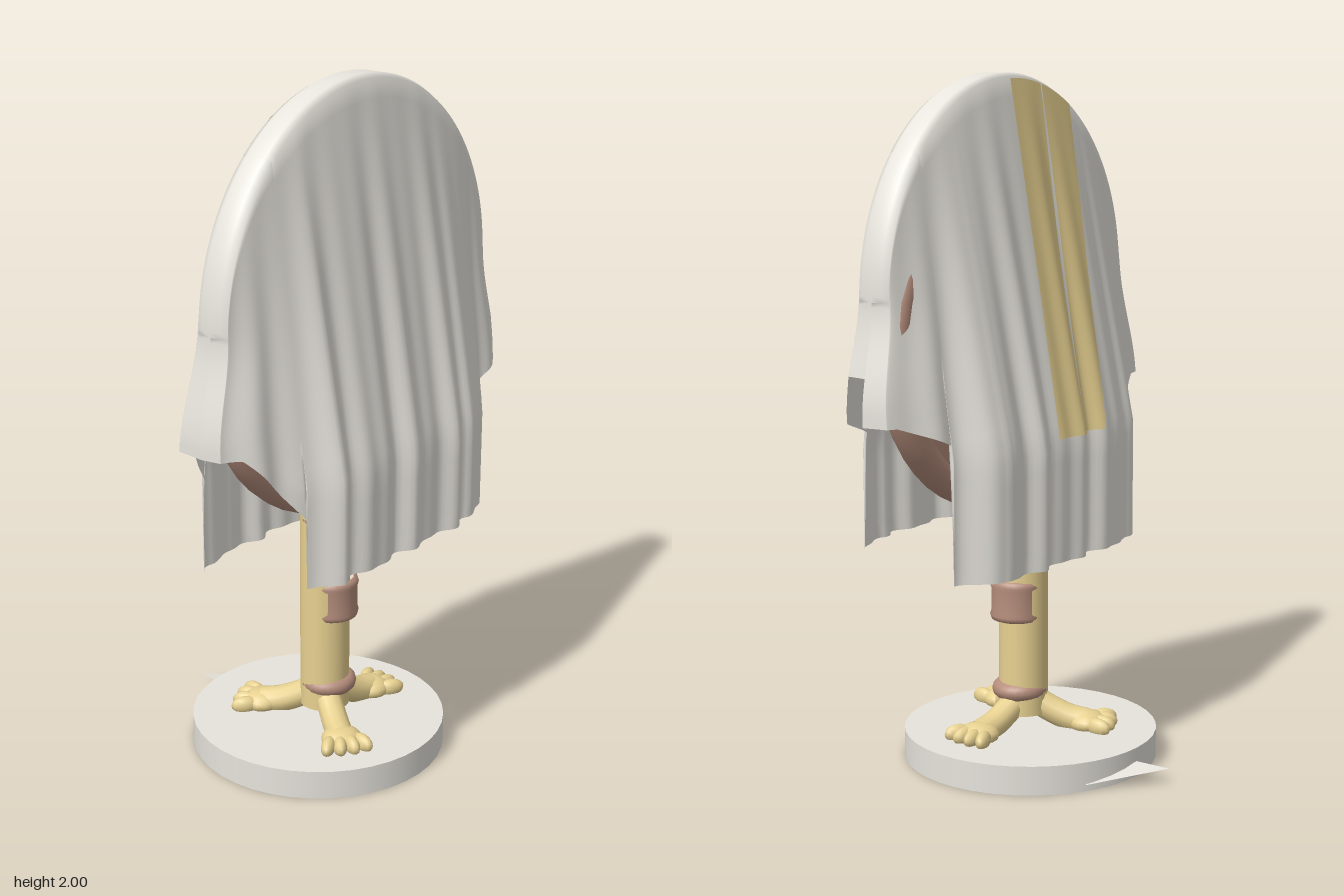
import * as THREE from 'three';

const mat = (name, color, side = THREE.FrontSide) => {
  const m = new THREE.MeshStandardMaterial({ color, side });
  m.name = name;
  return m;
};

const RX = 0.568, CY = 1.4, RY = 0.59; // half-ellipse of the covered rim
const EDGE_X = 0.02, EDGE_W = 0.41;    // long hanging panel: centre and half width
const clamp = THREE.MathUtils.clamp;

const rimTop = x => CY + RY * Math.sqrt(Math.max(0, 1 - (x / RX) ** 2));

// Depth of the cloth at (x, y) on the front (dir 1) or back (dir -1)
function clothZ(x, y, dir) {
  const top = rimTop(x);
  const t = clamp((top - y) / (top - 0.97), 0, 1);
  const flare = (dir > 0 ? 0.168 : 0.205) * clamp((0.62 - Math.abs(x)) / 0.32, 0, 1);
  const p = dir > 0 ? 0.6 : 2.4;
  const fold = 0.011 * Math.sin(x * 36 + p) + 0.007 * Math.sin(x * 61 + p * 2);
  return 0.14 + dir * (0.05 + t * (flare + fold));
}

// Lower edge: long in the middle, rising to the sides, highest at the front left
function hemY(x, dir) {
  const d = Math.abs(x - EDGE_X) - EDGE_W;
  if (d <= 0) return dir > 0 ? 0.68 : 0.62;
  if (x < 0) return Math.min(1.08, 0.88 + d * 1.4);
  const notch = dir > 0 ? 0.13 * THREE.MathUtils.smoothstep(x, 0.535, RX) : 0;
  return Math.min(1.07, 1.01 + d * 0.5) + notch;
}

// Cloth spreads outwards slightly at the lower sides
const spreadX = (x, y) =>
  x + Math.sign(x) * 0.045 * Math.abs(x / RX) ** 6 * THREE.MathUtils.smoothstep(CY - y, 0, 0.3);

function gridGeometry(cols) {
  const n = cols[0].length, index = [];
  for (let i = 0; i < cols.length - 1; i++)
    for (let j = 0; j < n - 1; j++) {
      const a = i * n + j, b = a + n;
      index.push(a, b, b + 1, a, b + 1, a + 1);
    }
  const g = new THREE.BufferGeometry();
  g.setAttribute('position', new THREE.Float32BufferAttribute(cols.flat(2), 3));
  g.setIndex(index);
  g.computeVertexNormals();
  return g;
}

// One strip of cloth from the front hem, over the rim, to the back hem
function clothColumn(x) {
  const rows = 24, top = rimTop(x), front = [], back = [];
  for (let j = 0; j <= rows; j++) {
    const f = j / rows;
    for (const [list, dir] of [[front, 1], [back, -1]]) {
      const y = THREE.MathUtils.lerp(hemY(x, dir), top, f);
      list.push([spreadX(x, y), y, clothZ(x, y, dir)]);
    }
  }
  const rim = [0.17, 0.14, 0.11].map(z => [x * 1.018, CY + (top - CY) * 1.018, z]);
  return [...front, ...rim, ...back.reverse()];
}

function clothGeometry() {
  const xs = [];
  for (let i = 0; i <= 130; i++) xs.push(RX * Math.sin((i / 130 - 0.5) * Math.PI));
  for (const s of [-1, 1])
    xs.push(EDGE_X + s * (EDGE_W - 0.0005), EDGE_X + s * (EDGE_W + 0.0005));
  xs.sort((a, b) => a - b);
  const cols = xs.map(clothColumn);
  // Extra columns join front and back along both sides
  const close = (col, s) => col.map(([, y]) => [s * (spreadX(RX, y) + 0.01), y, 0.14]);
  return gridGeometry([close(cols[0], -1), ...cols, close(cols[cols.length - 1], 1)]);
}

// Thin painted band on the back, from x0..x1 at the top to x2..x3 at the bottom
function stripeGeometry(x0, x1, x2, x3) {
  const cols = [];
  for (let i = 0; i <= 24; i++) {
    const col = [];
    for (let j = 0; j <= 30; j++) {
      const u = i / 24, v = j / 30;
      const x = THREE.MathUtils.lerp(x0 + (x1 - x0) * u, x2 + (x3 - x2) * u, v);
      const y = THREE.MathUtils.lerp(rimTop(x) - 0.005, 0.98, v);
      col.push([x, y, clothZ(x, y, -1) - 0.005]);
    }
    cols.push(col);
  }
  return gridGeometry(cols);
}

export function createModel() {
  const model = new THREE.Group();
  model.name = 'coveredStandingMirror';
  const cloth = mat('paleGrey', 0xe7e4dd, THREE.DoubleSide);
  const gold = mat('paleGold', 0xf6de9a, THREE.DoubleSide);
  const brown = mat('brown', 0xb68e7d);

  const add = (name, geo, material, x = 0, y = 0, z = 0, parent = model) => {
    const m = new THREE.Mesh(geo, material);
    m.name = name;
    m.position.set(x, y, z);
    parent.add(m);
    return m;
  };

  // Round base, hollow underneath
  const BX = -0.035, BZ = 0.055;
  add('baseWall', new THREE.CylinderGeometry(0.375, 0.375, 0.085, 40, 1, true), cloth, BX, 0.0425, BZ);
  add('baseTop', new THREE.CircleGeometry(0.375, 40).rotateX(-Math.PI / 2), cloth, BX, 0.085, BZ);
  const shard = new THREE.BufferGeometry();
  shard.setAttribute('position', new THREE.Float32BufferAttribute(
    [-0.03, 0.045, -0.43, -0.03, 0.045, -0.14, 0.16, 0.02, -0.27], 3));
  shard.computeVertexNormals();
  add('baseShard', shard, cloth);

  // Post with its rings
  const PX = -0.035, PZ = 0.08;
  add('post', new THREE.CylinderGeometry(0.073, 0.073, 0.7, 24), gold, PX, 0.475, PZ);
  for (const y of [0.195, 0.72]) {
    const ring = new THREE.TorusGeometry(0.056, 0.027, 12, 28).rotateX(Math.PI / 2);
    add('postRing', ring, brown, -0.028, y, 0.088);
  }
  const cuff = [[0.066, -0.062], [0.077, -0.058], [0.081, -0.045], [0.077, -0.035], [0.077, 0.035],
    [0.081, 0.045], [0.077, 0.058], [0.066, 0.062]].map(p => new THREE.Vector2(...p));
  add('postCuff', new THREE.LatheGeometry(cuff, 28), brown, -0.021, 0.47, 0.092);

  // Three clawed feet around the post
  const path = new THREE.CatmullRomCurve3([[0.02, 0.17, 0], [0.08, 0.135, 0], [0.14, 0.11, 0], [0.19, 0.1, 0]]
    .map(p => new THREE.Vector3(...p)));
  for (let k = 0; k < 3; k++) {
    const foot = new THREE.Group();
    foot.name = 'foot';
    foot.position.set(PX, 0, PZ);
    foot.rotation.y = -Math.atan2(-0.917, -0.4) + k * Math.PI * 2 / 3;
    model.add(foot);
    add('footBone', new THREE.TubeGeometry(path, 12, 0.04, 12), gold, 0, 0, 0, foot);
    add('footPad', new THREE.SphereGeometry(1, 16, 10).scale(0.058, 0.034, 0.06), gold, 0.195, 0.1, 0, foot);
    for (let i = 0; i < 4; i++) {
      const a = (i - 1.5) * 0.3;
      const toe = add('toe', new THREE.SphereGeometry(1, 12, 8).scale(0.042, 0.027, 0.021), gold,
        0.175 + 0.065 * Math.cos(a), 0.1, 0.115 * Math.sin(a), foot);
      toe.rotation.y = -a;
    }
  }

  // Mirror under the cloth
  const frame = new THREE.TorusGeometry(0.53, 0.048, 12, 48).scale(0.965, 0.9, 1.1);
  add('mirrorFrame', frame, brown, 0.014, 1.27, 0.112);
  const panel = new THREE.CylinderGeometry(0.53, 0.53, 0.08, 48).rotateX(Math.PI / 2).scale(0.965, 0.9, 1);
  add('mirrorPanel', panel, brown, 0.014, 1.27, 0.112);

  // Draped cloth with two bands on its back
  add('drapedCloth', clothGeometry(), cloth);
  add('clothBand', stripeGeometry(-0.28, -0.135, -0.16, -0.085), gold);
  add('clothBand', stripeGeometry(-0.13, 0.02, -0.055, 0.06), gold);

  return model;
}
